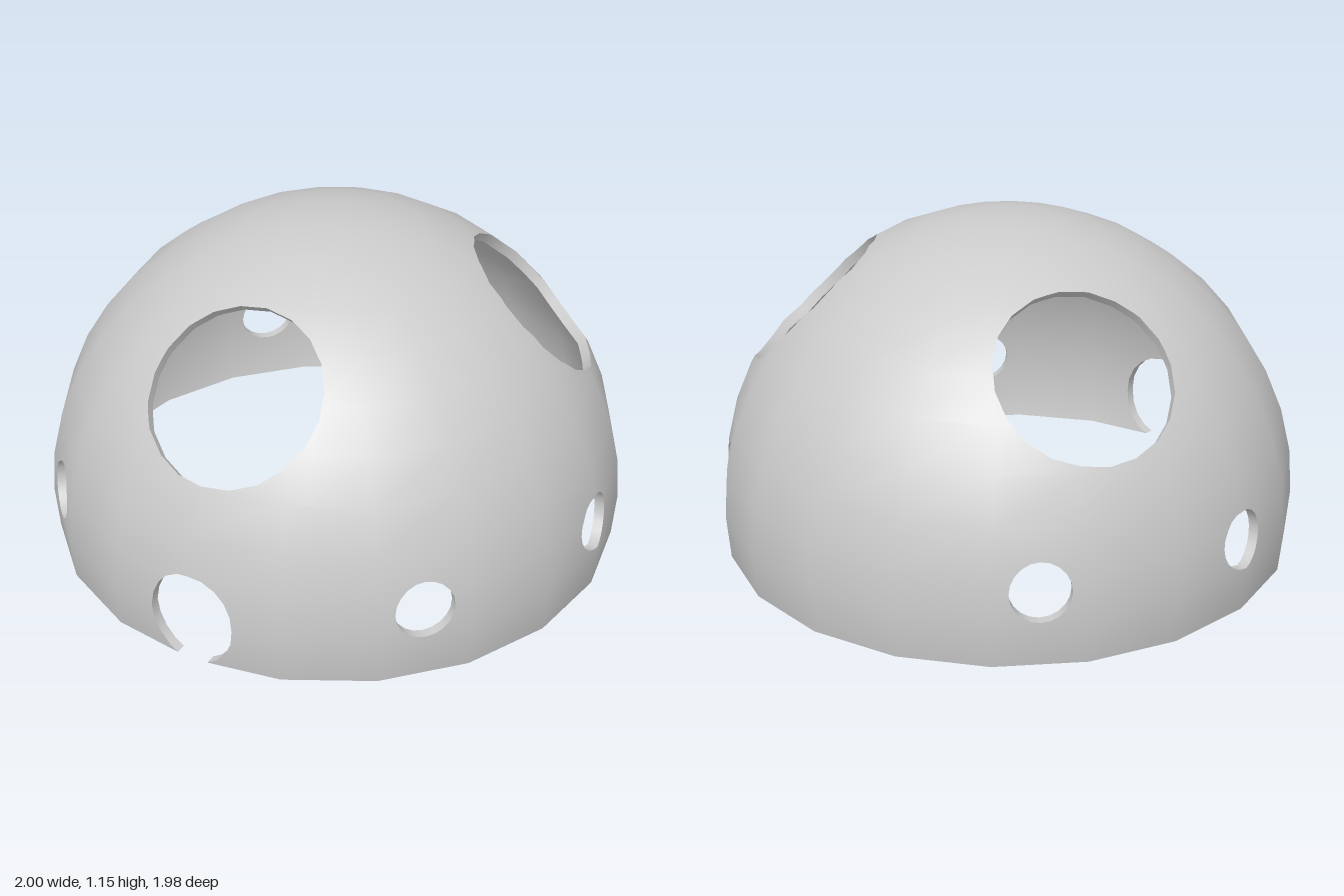
import * as THREE from 'three';

const V = (x, y, z) => new THREE.Vector3(x, y, z);
const RAD = Math.PI / 180;
const CENTRE = 0.165, BASE = -0.155, OUTER = 1, INNER = 0.965;

// A plane is { n, c }; a point is inside when n.p <= c.
const facePlane = ([a, b, d]) => {
  const n = b.clone().sub(a).cross(d.clone().sub(a)).normalize();
  return { n, c: n.dot(a) };
};

// Split a convex polygon into [inside, outside] parts.
function split(poly, { n, c }) {
  const dist = poly.map(p => n.dot(p) - c);
  if (dist.every(d => d <= 1e-7)) return [poly, null];
  if (dist.every(d => d >= -1e-7)) return [null, poly];
  const inside = [], outside = [];
  poly.forEach((p, i) => {
    const j = (i + 1) % poly.length, d = dist[i], e = dist[j];
    if (d <= 0) inside.push(p);
    if (d >= 0) outside.push(p);
    if (d * e < 0) {
      const m = p.clone().lerp(poly[j], d / (d - e));
      inside.push(m);
      outside.push(m);
    }
  });
  return [inside, outside];
}

// Part of a polygon inside a convex solid.
const keep = (poly, planes) => planes.reduce((p, pl) => p && split(p, pl)[0], poly);

// Pieces of a polygon outside a convex solid.
function subtract(poly, planes) {
  if (!keep(poly, planes)) return [poly];
  const pieces = [];
  let rest = poly;
  for (const pl of planes) {
    const [inside, outside] = split(rest, pl);
    if (outside) pieces.push(outside);
    rest = inside;
    if (!rest) break;
  }
  return pieces;
}

// Outward facets of a faceted sphere, 20 round and 9 degrees per ring.
function sphereFacets(r) {
  const at = (el, az) => V(Math.cos(el * RAD) * Math.sin(az * RAD), Math.sin(el * RAD),
    Math.cos(el * RAD) * Math.cos(az * RAD)).multiplyScalar(r);
  const facets = [];
  for (let el = -18; el < 90; el += 9) {
    for (let az = 0; az < 360; az += 18) {
      const f = [at(el, az), at(el, az + 18), at(el + 9, az + 18)];
      if (el + 9 < 90) f.push(at(el + 9, az));
      facets.push(f);
    }
  }
  return facets;
}

// A prism cutter: axis direction from azimuth and elevation, lifted by dy.
function makeHole(name, az, el, rx, ry, dy, sides = 20) {
  const d = V(Math.cos(el * RAD) * Math.sin(az * RAD), Math.sin(el * RAD), Math.cos(el * RAD) * Math.cos(az * RAD));
  const u = V(Math.cos(az * RAD), 0, -Math.sin(az * RAD));
  const v = d.clone().cross(u);
  const origin = V(0, dy, 0);
  const corner = (k, t) => {
    const a = k / sides * Math.PI * 2;
    return origin.clone().addScaledVector(d, t)
      .addScaledVector(u, rx * Math.cos(a)).addScaledVector(v, ry * Math.sin(a));
  };
  const walls = [];
  for (let k = 0; k < sides; k++) {
    walls.push([corner(k, 0.5), corner(k + 1, 0.5), corner(k + 1, 1.2), corner(k, 1.2)]);
  }
  const planes = walls.map(facePlane);
  planes.push({ n: d.clone().negate(), c: -d.dot(origin) - 0.5 });
  // Normal pointing back to the hole's axis
  const normal = p => {
    const q = origin.clone().sub(p);
    return q.addScaledVector(d, -q.dot(d)).normalize();
  };
  return { name, walls, planes, normal };
}

// Fan-triangulate convex polygons, with a normal rule.
function polyMesh(name, polys, normalAt, material) {
  const pos = [], nor = [];
  for (const poly of polys) {
    for (let i = 1; i < poly.length - 1; i++) {
      for (const p of [poly[0], poly[i], poly[i + 1]]) {
        pos.push(p.x, p.y, p.z);
        nor.push(...normalAt(p).toArray());
      }
    }
  }
  const g = new THREE.BufferGeometry();
  g.setAttribute('position', new THREE.Float32BufferAttribute(pos, 3));
  g.setAttribute('normal', new THREE.Float32BufferAttribute(nor, 3));
  const mesh = new THREE.Mesh(g, material);
  mesh.name = name;
  return mesh;
}

const flip = polys => polys.map(p => [...p].reverse());

export function createModel() {
  const group = new THREE.Group();
  group.name = 'dome';
  const material = new THREE.MeshStandardMaterial({ color: 0xcccccc });
  const ground = { n: V(0, -1, 0), c: -BASE };
  const outer = sphereFacets(OUTER), inner = sphereFacets(INNER);
  const outerPlanes = outer.map(facePlane), innerPlanes = inner.map(facePlane);

  // Doorway, three large upper windows and six portholes
  const holes = [makeHole('doorway', 0, 0, 0.15, 0.172, 0.003)];
  for (const az of [0, 120, 240]) holes.push(makeHole('upperWindow', az, 45, 0.3, 0.3, 0));
  for (const az of [45, 90, 135, 225, 270, 315]) holes.push(makeHole('porthole', az, 0, 0.1, 0.1, 0.1));

  const pierce = polys => holes.reduce((list, h) => list.flatMap(p => subtract(p, h.planes)), polys);
  const trim = polys => polys.map(p => keep(p, [ground])).filter(Boolean);

  // Shell surfaces
  group.add(polyMesh('outerShell', pierce(trim(outer)), p => p.clone().normalize(), material));
  group.add(polyMesh('innerShell', flip(pierce(trim(inner))), p => p.clone().normalize().negate(), material));

  // Flat rim under the wall
  const slab = keep([V(-1.2, BASE, -1.2), V(1.2, BASE, -1.2), V(1.2, BASE, 1.2), V(-1.2, BASE, 1.2)], outerPlanes);
  group.add(polyMesh('baseRim', pierce(subtract(slab, innerPlanes)), () => V(0, -1, 0), material));

  // Wall thickness inside every opening
  for (const h of holes) {
    const walls = trim(h.walls).map(w => keep(w, outerPlanes)).filter(Boolean)
      .flatMap(w => subtract(w, innerPlanes));
    group.add(polyMesh(h.name + 'Edge', flip(walls), h.normal, material));
  }

  group.children.forEach(m => { m.position.y = CENTRE; });
  return group;
}
